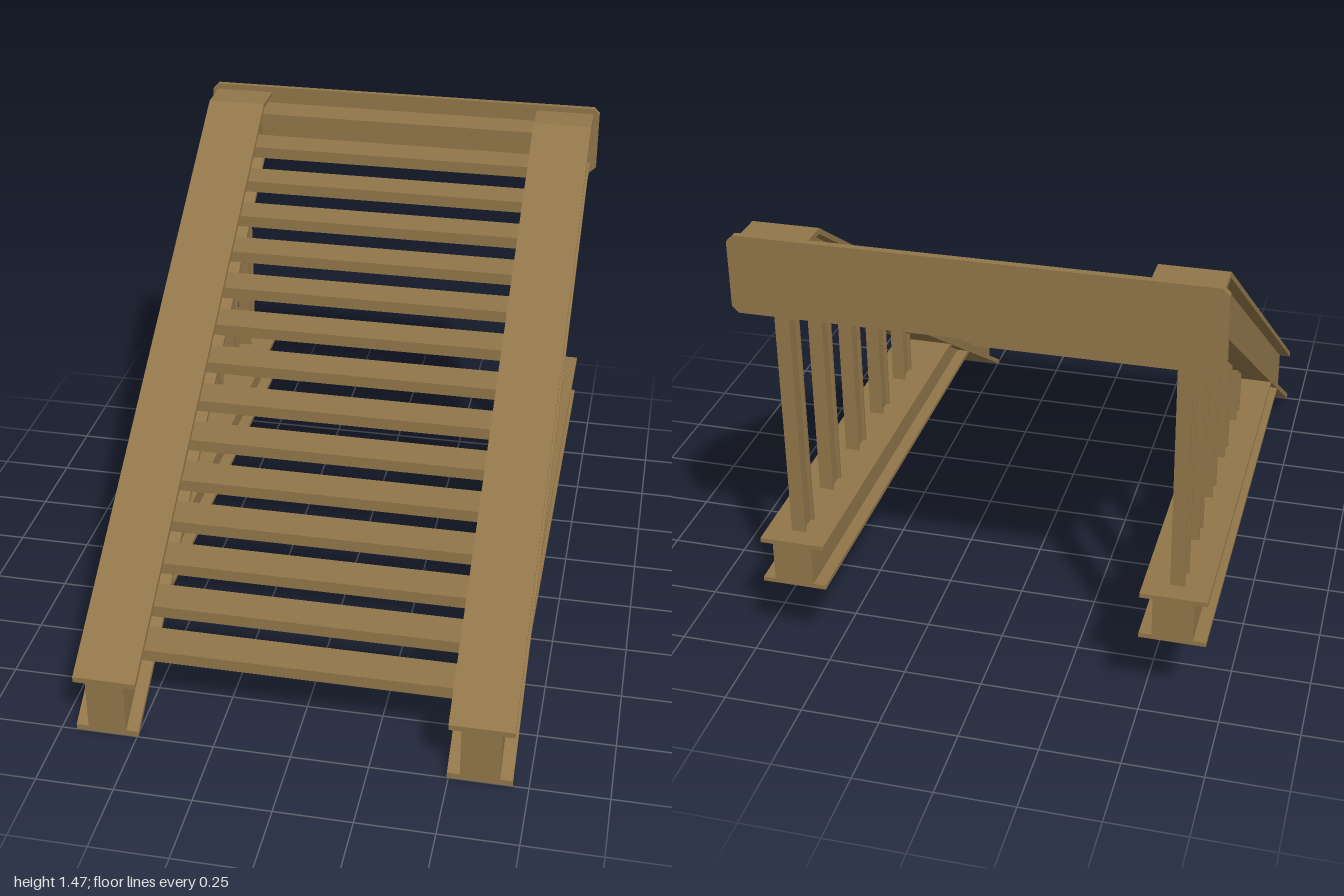
import * as THREE from 'three';

const timber = new THREE.MeshStandardMaterial({ color: 0x92764a });
timber.name = 'brown paint';

// Slab with a side profile of [z, y] points, extruded across x and centred on x
function slab(name, points, x, width) {
  const shape = new THREE.Shape(points.map(([z, y]) => new THREE.Vector2(z, y)));
  const geo = new THREE.ExtrudeGeometry(shape, { depth: width, bevelEnabled: false });
  geo.rotateY(-Math.PI / 2);
  geo.translate(x + width / 2, 0, 0);
  const mesh = new THREE.Mesh(geo, timber);
  mesh.name = name;
  return mesh;
}

const BEAM = 0.205, WEB = 0.125, SIDE_X = 0.5975;
const SLOPE = 1.24 / 1.858;
const underside = z => Math.min((1 - z) * SLOPE, 1.24);
const undersideZ = y => 1 - y / SLOPE;

// Sloping I-beam with a level top end
function stringer(x) {
  const g = new THREE.Group();
  g.name = 'stringer';
  const line = (startY, endY) => [[1, startY], [1 - (endY - startY) / SLOPE, endY], [-0.98, endY]];
  const a = line(0, 1.24), b = line(0.02, 1.257);
  const c = line(0.19, 1.428), d = line(0.209, 1.445);
  const band = (low, high) => [...low, ...[...high].reverse()];
  g.add(
    slab('stringerBottomFlange', band(a, b), x, BEAM),
    slab('stringerWeb', band(b, c), x, WEB),
    slab('stringerTopFlange', band(c, d), x, BEAM)
  );
  return g;
}

// Level I-beam, cut along the underside of the stringer
function baseBeam(x) {
  const g = new THREE.Group();
  g.name = 'baseBeam';
  const band = (lo, hi) => [[-1, lo], [undersideZ(lo), lo], [undersideZ(hi), hi], [-1, hi]];
  g.add(
    slab('baseBottomFlange', band(0.275, 0.29), x, BEAM),
    slab('baseWeb', band(0.29, 0.42), x, WEB),
    slab('baseTopFlange', band(0.42, 0.435), x, BEAM)
  );
  return g;
}

// H-section post, its top cut to the stringer
function post(x, z) {
  const g = new THREE.Group();
  g.name = 'post';
  const h = 0.039, t = 0.009;
  const band = (z0, z1) => [[z0, 0.435], [z1, 0.435], [z1, underside(z1)], [z0, underside(z0)]];
  g.add(
    slab('postBackFlange', band(z - h, z - h + t), x, 0.045),
    slab('postWeb', band(z - h + t, z + h - t), x, 0.025),
    slab('postFrontFlange', band(z + h - t, z + h), x, 0.045)
  );
  return g;
}

export function createModel() {
  const model = new THREE.Group();
  model.name = 'staircase';

  for (const side of [-1, 1]) {
    const x = side * SIDE_X;
    model.add(stringer(x), baseBeam(x));
    for (let i = 0; i < 5; i++) model.add(post(x, 0.091 - i * 0.247));
  }

  // Treads between the stringer webs
  for (let i = 0; i < 15; i++) {
    const tread = new THREE.Mesh(new THREE.BoxGeometry(1.07, 0.04, 0.124), timber);
    tread.name = 'tread';
    tread.position.set(0, 0.23 + i * 0.0825, 0.813 - i * 0.1238);
    model.add(tread);
  }

  // Back plate with clipped corners
  const w = 0.72, lo = 1.22, hi = 1.465, c = 0.02;
  const outline = [[-w + c, lo], [w - c, lo], [w, lo + c], [w, hi - c],
    [w - c, hi], [-w + c, hi], [-w, hi - c], [-w, lo + c]];
  const plateGeo = new THREE.ExtrudeGeometry(
    new THREE.Shape(outline.map(p => new THREE.Vector2(...p))), { depth: 0.02, bevelEnabled: false });
  const plate = new THREE.Mesh(plateGeo, timber);
  plate.name = 'backPlate';
  plate.position.z = -1;
  model.add(plate);

  return model;
}
